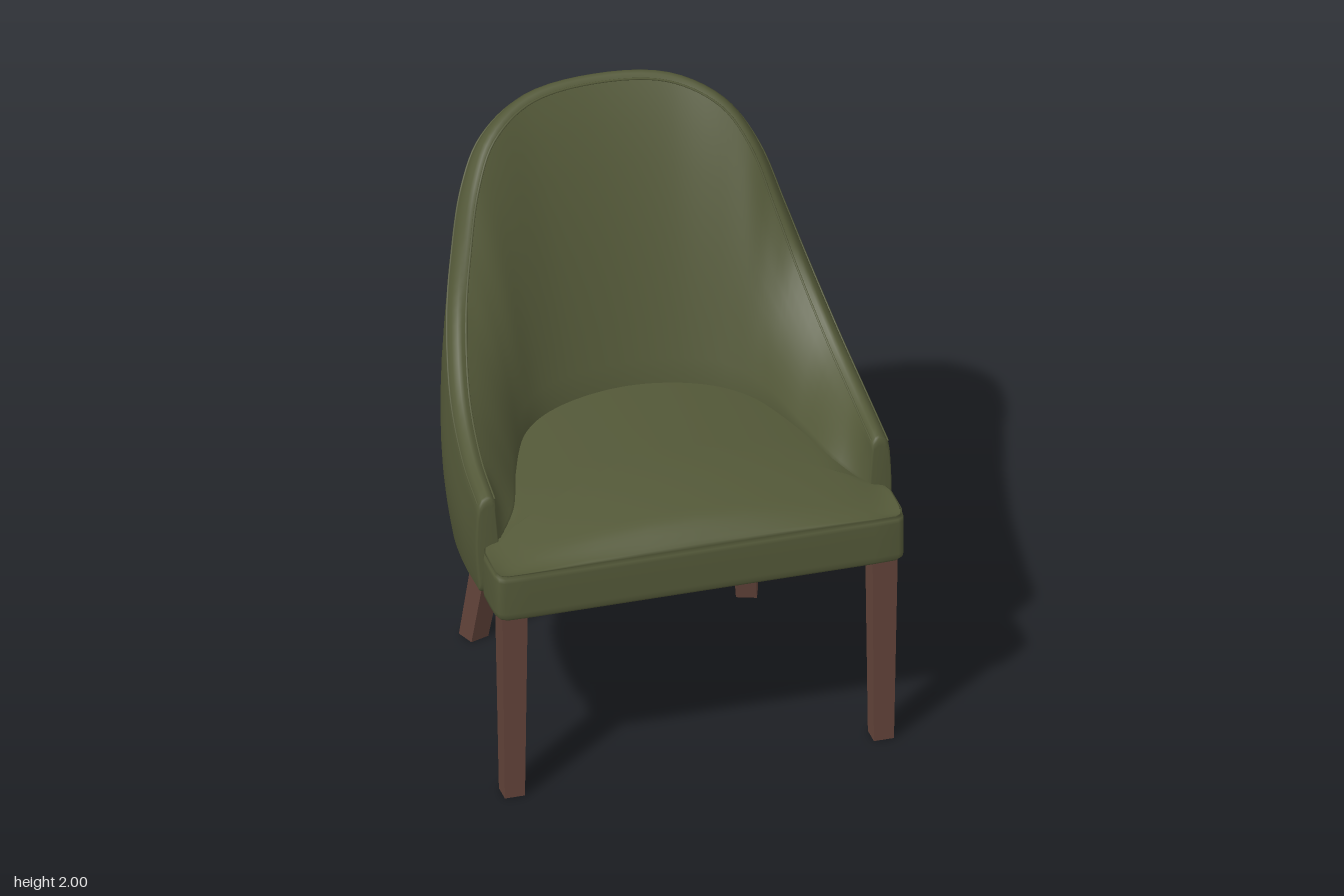
import * as THREE from 'three';

const V = (x, y, z) => new THREE.Vector3(x, y, z);
const fabric = new THREE.MeshStandardMaterial({ color: 0x535838 });
fabric.name = 'olive fabric';
const wood = new THREE.MeshStandardMaterial({ color: 0x62433a });
wood.name = 'brown wood';

function mesh(name, geometry, material) {
  const m = new THREE.Mesh(geometry, material);
  m.name = name;
  return m;
}

function centre(ring) {
  return ring.reduce((s, p) => s.add(p), V(0, 0, 0)).divideScalar(ring.length);
}

// Closed smooth solid skinned over equal-length rings, with fan caps
function loft(rings) {
  const n = rings[0].length, last = rings.length - 1;
  const pts = rings.flat(), idx = [];
  for (let i = 0; i < last; i++) for (let j = 0; j < n; j++) {
    const a = i * n + j, b = i * n + (j + 1) % n;
    idx.push(a, b, a + n, b, b + n, a + n);
  }
  for (const i of [0, last]) {
    const c = pts.push(centre(rings[i])) - 1;
    for (let j = 0; j < n; j++) {
      const a = i * n + j, b = i * n + (j + 1) % n;
      idx.push(c, ...(i ? [a, b] : [b, a]));
    }
  }
  // Turn faces outward if the enclosed volume comes out negative
  let volume = 0;
  for (let i = 0; i < idx.length; i += 3) {
    volume += pts[idx[i]].dot(pts[idx[i + 1]].clone().cross(pts[idx[i + 2]]));
  }
  if (volume < 0) idx.reverse();
  const g = new THREE.BufferGeometry().setFromPoints(pts);
  g.setIndex(idx);
  g.computeVertexNormals();
  return g;
}

// Curve through one side's stations and their mirror image
function mirroredCurve(half) {
  const other = half.slice(0, -1).reverse().map(([x, y, z]) => [-x, y, z]);
  return new THREE.CatmullRomCurve3([...half, ...other].map(p => V(...p)));
}

// Shell guide lines from the arm tip to the middle of the back
const base = mirroredCurve([
  [0.712, 0.715, 0.42], [0.712, 0.715, 0.25], [0.69, 0.715, 0.05], [0.645, 0.715, -0.09],
  [0.58, 0.715, -0.2], [0.51, 0.715, -0.28], [0.42, 0.715, -0.345],
  [0.25, 0.715, -0.41], [0, 0.715, -0.44],
]);
const rim = mirroredCurve([
  [0.682, 1.068, 0.415], [0.675, 1.118, 0.23], [0.648, 1.23, 0], [0.598, 1.42, -0.2],
  [0.553, 1.585, -0.3], [0.493, 1.78, -0.395], [0.41, 1.905, -0.482],
  [0.25, 1.98, -0.572], [0, 2, -0.605],
]);
const inner = mirroredCurve([
  [0.64, 0.87, 0.42], [0.55, 0.92, 0.31], [0.49, 0.94, 0.13], [0.45, 0.95, 0.02],
  [0.41, 0.95, -0.06], [0.37, 0.95, -0.11], [0.3, 0.95, -0.16],
  [0.18, 0.95, -0.2], [0, 0.95, -0.22],
]);

// Horizontal direction pointing out of the shell
function outward(t) {
  const d = base.getTangent(t);
  return V(-d.z, 0, d.x).normalize();
}

const OUTER_RIM = 12, INNER_RIM = 16;
function shellSection(t) {
  const n = outward(t), B = base.getPoint(t), R = rim.getPoint(t), I = inner.getPoint(t);
  const off = (p, out, dy, dz = 0) => p.clone().addScaledVector(n, out).add(V(0, dy, dz));
  const around = Math.sin(Math.PI * t);
  // Rim leans further back at the shoulders
  const lean = -0.024 * Math.sin(2 * Math.PI * t) ** 2;
  const O = off(R, 0.036, -0.06, lean), N = off(R, -0.028, -0.018);
  const ring = [off(B, -0.045, -0.005), off(B, -0.015, -0.012), off(B, -0.004, -0.008), B];
  // Outer face, swelling most at the back
  for (let k = 1; k <= 7; k++) {
    const s = Math.sin(Math.PI * k / 8);
    ring.push(off(B.clone().lerp(O, k / 8), (0.008 + 0.038 * around) * s, 0));
  }
  ring.push(O, off(R, 0.031, -0.03, lean * 0.9), off(R, 0.018, -0.01, lean * 0.5), R,
    off(R, -0.014, -0.004), N);
  // Padded inner face, fullest near the rim, continuing down behind the seat
  for (let k = 1; k <= 8; k++) {
    const s = Math.sin(Math.PI * (k / 8) ** 0.75);
    ring.push(off(N.clone().lerp(I, k / 8), -0.032 * around * s, 0));
  }
  ring.push(off(I, 0.015, -0.06));
  return ring;
}

function buildShell() {
  const group = new THREE.Group();
  group.name = 'backrest';
  const steps = 80, rings = [];
  for (let i = 0; i <= steps; i++) rings.push(shellSection(i / steps));
  // Rounded arm fronts
  const tip = (ring, k, dz) => {
    const c = centre(ring);
    return ring.map(p => p.clone().lerp(c, k).add(V(0, 0, dz)));
  };
  const ends = r => [tip(r, 0.2, 0.015), tip(r, 0.09, 0.012), tip(r, 0.03, 0.006)];
  const all = [...ends(rings[0]), ...rings, ...ends(rings[steps]).reverse()];
  group.add(mesh('backrestShell', loft(all), fabric));
  // Fine piping along both edges of the rim
  for (const [name, j] of [['outerPiping', OUTER_RIM], ['innerPiping', INNER_RIM]]) {
    const path = new THREE.CatmullRomCurve3(rings.map(r => r[j]));
    group.add(mesh(name, new THREE.TubeGeometry(path, 120, 0.004, 6), fabric));
  }
  return group;
}

function buildSeat() {
  // Plan outline: tucked inside the shell, full width in front of the arms
  const outline = [];
  for (let i = 0; i <= 40; i++) {
    outline.push(base.getPoint(i / 40).addScaledVector(outward(i / 40), -0.058));
  }
  const corner = [[0.685, 0.438], [0.702, 0.446], [0.711, 0.475], [0.712, 0.54], [0.711, 0.6],
    [0.703, 0.628], [0.683, 0.64], [0.6, 0.643], [0.4, 0.643], [0.2, 0.643]];
  for (const [x, z] of corner) outline.push(V(-x, 0, z));
  outline.push(V(0, 0, 0.643));
  for (const [x, z] of corner.reverse()) outline.push(V(x, 0, z));

  const ring = (k, y) => outline.map(p => V(p.x * k, y, 0.15 + (p.z - 0.15) * k));
  const rings = [ring(0.5, 0.708), ring(0.965, 0.708), ring(0.985, 0.708), ring(0.996, 0.717),
    ring(1, 0.735), ring(1, 0.8), ring(1, 0.855), ring(0.996, 0.868), ring(0.983, 0.875),
    ring(0.994, 0.882)];
  // Crowned cushion top, rolling down to the seam at its edge
  for (const k of [0.985, 0.965, 0.94, 0.91, 0.87, 0.82, 0.76, 0.67, 0.56, 0.42, 0.28, 0.14, 0.03]) {
    const roll = Math.max(0, (k - 0.8) / 0.2) ** 2;
    rings.push(ring(k, 0).map(p => {
      const crown = 1 - 0.1 * (p.x / 0.71) ** 2 - 0.03 * Math.max(0, (p.z - 0.2) / 0.3) ** 2;
      return p.setY(THREE.MathUtils.lerp(crown, 0.885, roll));
    }));
  }
  return mesh('seatCushion', loft(rings), fabric);
}

// Tapered square leg sheared from its top centre to its foot
function buildLeg(name, top, foot, turn) {
  const h = 0.74, r = Math.SQRT1_2;
  const g = new THREE.CylinderGeometry(0.088 * r, 0.07 * r, h, 4, 1).toNonIndexed();
  g.rotateY(Math.PI / 4 + turn).translate(0, h / 2, 0);
  const p = g.attributes.position;
  for (let i = 0; i < p.count; i++) {
    const t = p.getY(i) / h;
    p.setX(i, p.getX(i) + foot[0] + (top[0] - foot[0]) * t);
    p.setZ(i, p.getZ(i) + foot[1] + (top[1] - foot[1]) * t);
  }
  g.computeVertexNormals();
  return mesh(name, g, wood);
}

export function createModel() {
  const chair = new THREE.Group();
  chair.name = 'chair';
  chair.add(buildShell(), buildSeat());
  for (const [side, s] of [['Left', 1], ['Right', -1]]) {
    chair.add(
      buildLeg('front' + side + 'Leg', [0.643 * s, 0.572], [0.641 * s, 0.572], 0),
      buildLeg('back' + side + 'Leg', [0.4 * s, -0.29], [0.475 * s, -0.428], -0.35 * s),
    );
  }
  return chair;
}
